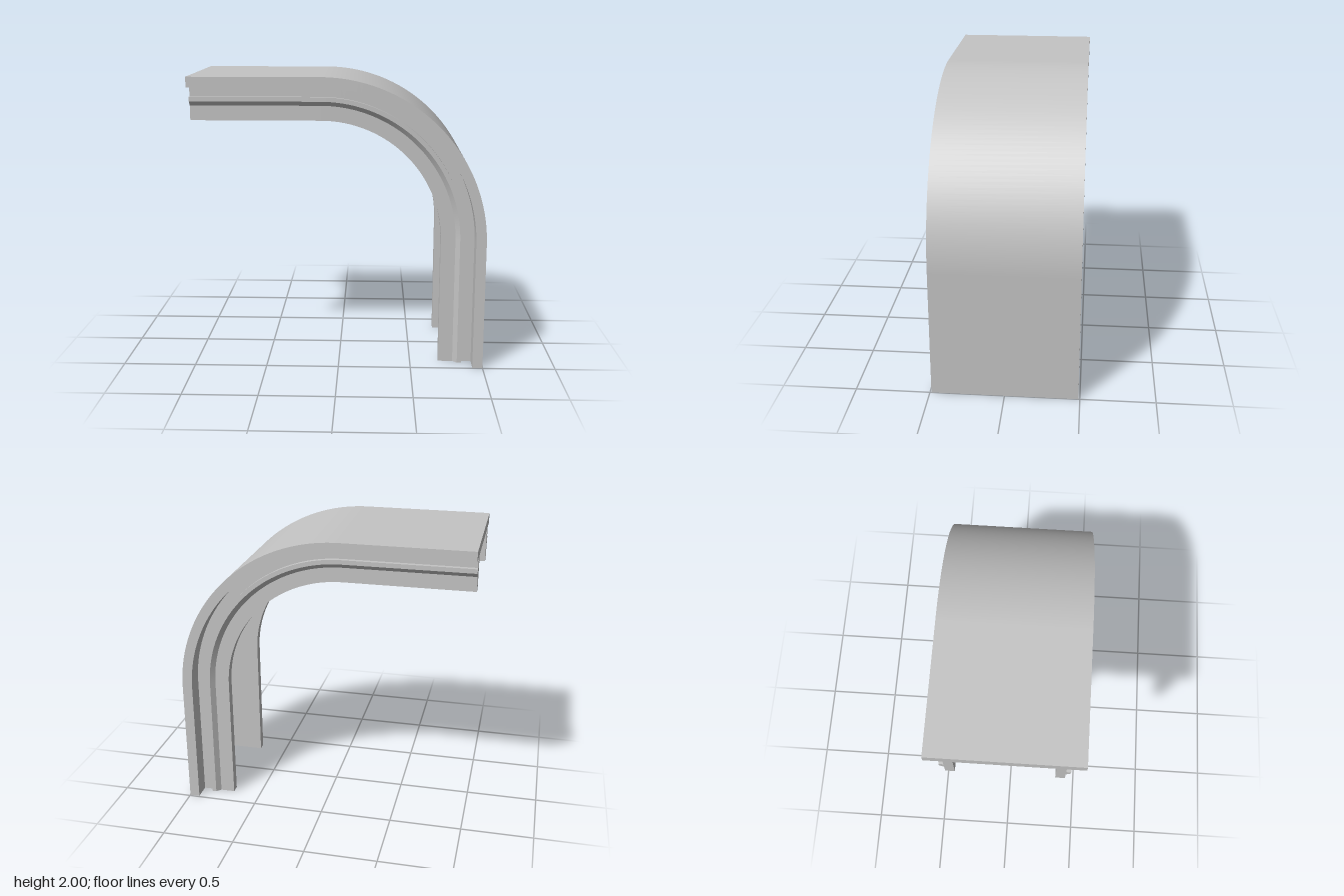
import * as THREE from 'three';

const BEND = 1.12; // outer radius of the bend
const STEPS = 48;

// Stations along the path: end of the level run, the bend, foot of the upright run
function pathPoint(i, d) {
  if (i === 0) return [-1, 2 - d];
  if (i === STEPS + 2) return [1 - d, 0];
  const a = ((i - 1) / STEPS) * Math.PI / 2;
  const r = BEND - d;
  return [1 - BEND + r * Math.sin(a), 2 - BEND + r * Math.cos(a)];
}

// Sweeps a closed section of [z, depth below outer face] along the path, with crisp long edges
function sweep(section) {
  const pos = [], index = [];
  const add = (i, [z, d]) => {
    const [x, y] = pathPoint(i, d);
    pos.push(x, y, z);
  };
  section.forEach((p, k) => {
    const q = section[(k + 1) % section.length];
    const base = pos.length / 3;
    for (let i = 0; i <= STEPS + 2; i++) {
      add(i, p);
      add(i, q);
      if (i > 0) {
        const a = base + 2 * (i - 1);
        index.push(a, a + 1, a + 3, a, a + 3, a + 2);
      }
    }
  });
  // End caps
  const faces = THREE.ShapeUtils.triangulateShape(section.map(([z, d]) => new THREE.Vector2(z, d)), []);
  for (const end of [0, STEPS + 2]) {
    const base = pos.length / 3;
    section.forEach((p) => add(end, p));
    for (const [a, b, c] of faces) {
      if (end === 0) index.push(base + a, base + c, base + b);
      else index.push(base + a, base + b, base + c);
    }
  }
  const geo = new THREE.BufferGeometry();
  geo.setAttribute('position', new THREE.Float32BufferAttribute(pos, 3));
  geo.setIndex(index);
  geo.computeVertexNormals();
  return geo;
}

export function createModel() {
  const group = new THREE.Group();
  group.name = 'curvedTrunkingCover';
  const gray = new THREE.MeshStandardMaterial({ color: 0xc4c4c4 });
  gray.name = 'light gray';

  const addPart = (name, section) => {
    const mesh = new THREE.Mesh(sweep(section), gray);
    mesh.name = name;
    group.add(mesh);
  };

  // Wide outer plate
  addPart('coverPlate', [[-0.49, 0], [0.49, 0], [0.49, 0.07], [-0.49, 0.07]]);

  // Inset side walls, each with a chamfered snap ridge on its outer face
  const wall = [
    [0.31, 0.07], [0.37, 0.07], [0.37, 0.14], [0.40, 0.14],
    [0.40, 0.17], [0.37, 0.20], [0.37, 0.30], [0.31, 0.30],
  ];
  addPart('frontWall', wall);
  addPart('backWall', wall.map(([z, d]) => [-z, d]).reverse());

  return group;
}
